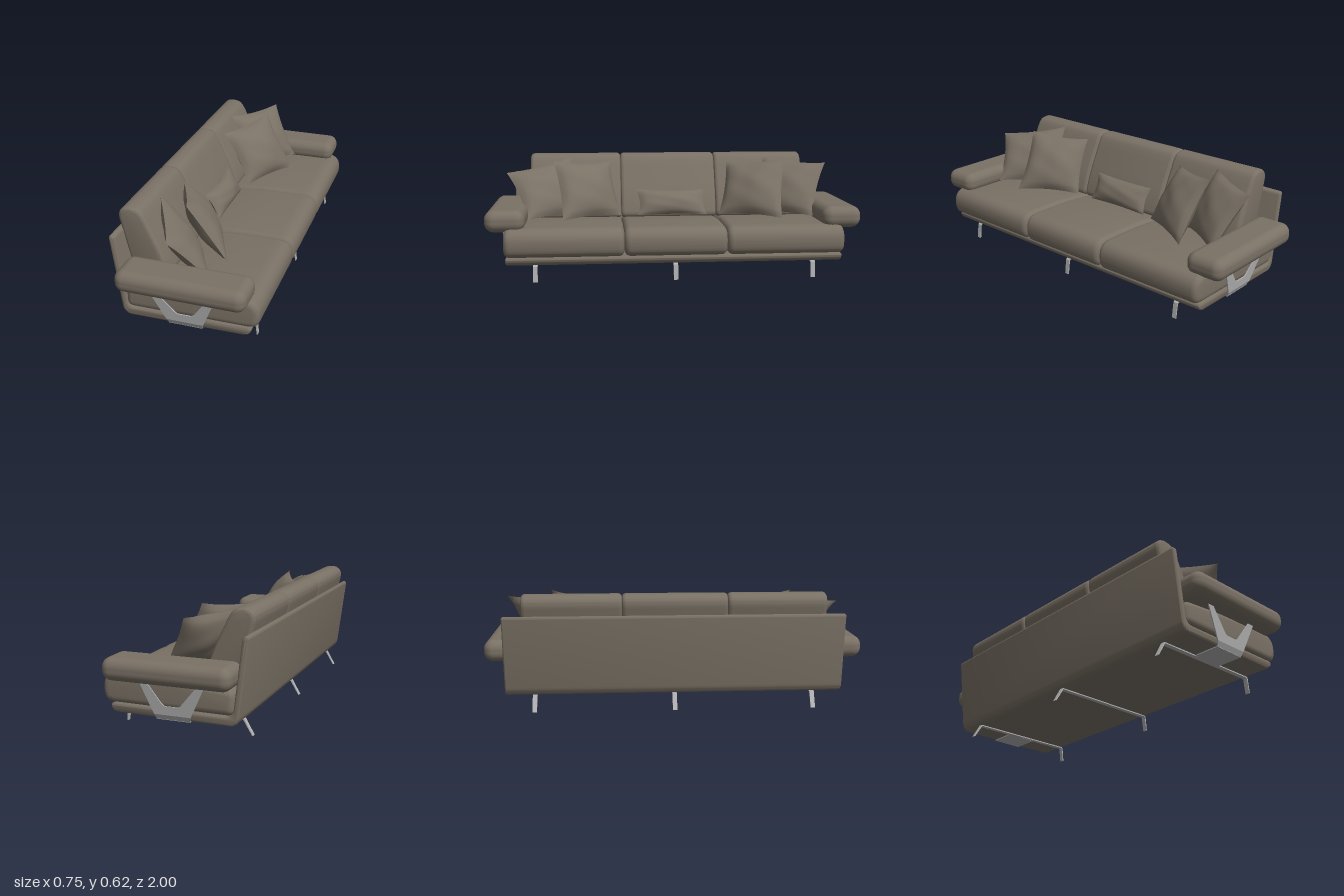
import * as THREE from 'three';
import { mergeGeometries, toCreasedNormals } from 'three/addons/utils/BufferGeometryUtils.js';
import { RoundedBoxGeometry } from 'three/addons/geometries/RoundedBoxGeometry.js';

// Closed outline whose corners [x, y, radius] are rounded
function roundedShape(corners) {
  const shape = new THREE.Shape();
  const n = corners.length;
  corners.forEach(([x, y, r], i) => {
    const p = new THREE.Vector2(x, y);
    const toward = ([qx, qy]) => {
      const d = new THREE.Vector2(qx, qy).sub(p);
      return d.setLength(Math.min(r, d.length() * 0.48)).add(p);
    };
    const a = toward(corners[(i + n - 1) % n]);
    const b = toward(corners[(i + 1) % n]);
    if (i === 0) shape.moveTo(a.x, a.y);
    else shape.lineTo(a.x, a.y);
    shape.quadraticCurveTo(x, y, b.x, b.y);
  });
  shape.closePath();
  return shape;
}

// Profile in the x-y plane swept from z0 to z1 with softly rounded ends
function softExtrude(corners, z0, z1, bevel) {
  const geo = new THREE.ExtrudeGeometry(roundedShape(corners), {
    depth: z1 - z0 - 2 * bevel, curveSegments: 8, bevelEnabled: true,
    bevelThickness: bevel, bevelSize: bevel, bevelOffset: -bevel, bevelSegments: 5,
  });
  geo.translate(0, 0, z0 + bevel);
  return toCreasedNormals(geo, 0.8);
}

// Flat-edged plate from plain points
function plate(points, depth) {
  const shape = new THREE.Shape(points.map(([x, y]) => new THREE.Vector2(x, y)));
  return new THREE.ExtrudeGeometry(shape, { depth, bevelEnabled: false });
}

// Pillow stretched between four corners, bulging on both faces
function pillowGeometry(topLeft, topRight, bottomLeft, bottomRight, bulge) {
  const [tl, tr, bl, br] = [topLeft, topRight, bottomLeft, bottomRight].map((c) => new THREE.Vector3(...c));
  const across = tr.clone().add(br).sub(tl).sub(bl);
  const up = tl.clone().add(tr).sub(bl).sub(br);
  const normal = across.cross(up).normalize();
  const sides = [1, -1].map((side) => {
    const geo = new THREE.PlaneGeometry(2, 2, 18, 18);
    const pos = geo.attributes.position;
    for (let i = 0; i < pos.count; i++) {
      const u = pos.getX(i) * side;
      const v = pos.getY(i);
      const pu = u * (1 - 0.08 * (1 - v * v));
      const pv = v * (1 - 0.08 * (1 - u * u));
      const puff = Math.pow(Math.max(0, (1 - u * u) * (1 - v * v)), 0.6);
      const fold = 1 + 0.08 * Math.sin(5 * u + 3 * v) * Math.cos(4 * v - u);
      const top = tl.clone().lerp(tr, (pu + 1) / 2);
      const p = bl.clone().lerp(br, (pu + 1) / 2).lerp(top, (pv + 1) / 2);
      p.addScaledVector(normal, side * bulge * puff * fold);
      pos.setXYZ(i, p.x, p.y, p.z);
    }
    geo.computeVertexNormals();
    return geo;
  });
  return mergeGeometries(sides);
}

export function createModel() {
  const sofa = new THREE.Group();
  sofa.name = 'sofa';
  const fabric = new THREE.MeshStandardMaterial({ color: 0x7a7165 });
  fabric.name = 'taupe fabric';
  const metal = new THREE.MeshStandardMaterial({ color: 0xb2b2b2 });
  metal.name = 'grey metal';
  const add = (name, geo, mat) => {
    const mesh = new THREE.Mesh(geo, mat);
    mesh.name = name;
    sofa.add(mesh);
    return mesh;
  };

  // Upholstered L-shaped shell: base and thin leaning back
  add('shell', softExtrude([
    [-0.325, 0.081, 0.05], [0.315, 0.088, 0.02], [0.337, 0.115, 0.02], [0.33, 0.133, 0.015],
    [-0.298, 0.127, 0.04], [-0.347, 0.512, 0.02], [-0.38, 0.514, 0.02],
  ], -0.895, 0.895, 0.012), fabric);

  // Three seat cushions and three back cushions
  const seatProfile = [
    [-0.306, 0.13, 0.04], [0.35, 0.134, 0.04], [0.377, 0.17, 0.04], [0.377, 0.245, 0.05],
    [0.335, 0.288, 0.05], [0.05, 0.286, 0.1], [-0.306, 0.252, 0.04],
  ];
  const backProfile = [
    [-0.295, 0.245, 0.03], [-0.11, 0.265, 0.04], [-0.145, 0.385, 0.08],
    [-0.245, 0.595, 0.05], [-0.275, 0.62, 0.03], [-0.34, 0.624, 0.04], [-0.376, 0.585, 0.04],
  ];
  for (const [z0, z1] of [[-0.9, -0.272], [-0.272, 0.272], [0.272, 0.9]]) {
    add('seatCushion', softExtrude(seatProfile, z0, z1, 0.032), fabric);
  }
  for (const [z0, z1] of [[-0.795, -0.275], [-0.275, 0.275], [0.275, 0.795]]) {
    add('backCushion', softExtrude(backProfile, z0, z1, 0.02), fabric);
  }

  // Armrests and their splayed metal brackets at both ends
  for (const s of [1, -1]) {
    const arm = add('armrest', new RoundedBoxGeometry(0.66, 0.115, 0.21, 6, 0.05), fabric);
    arm.position.set(0.005, 0.322, s * 0.895);

    const bracket = plate([
      [-0.085, 0.08], [0.09, 0.08], [0.097, 0.105], [0.167, 0.27], [0.13, 0.27],
      [0.055, 0.163], [0.038, 0.15], [-0.03, 0.15], [-0.045, 0.16], [-0.14, 0.27],
      [-0.175, 0.27], [-0.092, 0.105],
    ], 0.006);
    const pos = bracket.attributes.position;
    for (let i = 0; i < pos.count; i++) {
      const lean = pos.getY(i) < 0.1 ? -0.012 : (pos.getY(i) - 0.1) * 0.13;
      pos.setZ(i, s * 0.9 + pos.getZ(i) - 0.003 + s * lean);
    }
    bracket.computeVertexNormals();
    add('armBracket', bracket, metal);

    const tab = add('bracketTab', new THREE.BoxGeometry(0.175, 0.006, 0.15), metal);
    tab.position.set(0.0025, 0.081, s * 0.816);
  }

  // Three bent flat-bar legs running front to back
  for (const z of [-0.74, 0, 0.74]) {
    const leg = plate([
      [-0.348, 0], [-0.343, 0], [-0.298, 0.075], [0.305, 0.082], [0.312, 0.078], [0.322, 0],
      [0.327, 0], [0.318, 0.082], [0.31, 0.088], [-0.302, 0.081],
    ], 0.024);
    leg.translate(0, 0, z - 0.012);
    add('legBar', leg, metal);
  }

  // Scatter pillows: top left, top right, bottom left, bottom right, bulge
  const pillows = [
    [[-0.25, 0.605, 0.56], [-0.07, 0.535, 0.915], [-0.1, 0.29, 0.48], [0.1, 0.295, 0.79], 0.06],
    [[-0.21, 0.58, 0.335], [-0.07, 0.6, 0.655], [-0.06, 0.29, 0.275], [0.12, 0.29, 0.6], 0.065],
    [[-0.05, 0.608, -0.66], [-0.22, 0.57, -0.345], [0.13, 0.29, -0.61], [-0.05, 0.29, -0.28], 0.065],
    [[-0.06, 0.578, -0.895], [-0.25, 0.595, -0.565], [0.1, 0.295, -0.79], [-0.1, 0.29, -0.49], 0.06],
    [[-0.145, 0.425, 0.19], [-0.145, 0.42, -0.205], [-0.07, 0.285, 0.18], [-0.07, 0.285, -0.215], 0.045],
  ];
  pillows.forEach(([a, b, c, d, bulge], i) => {
    // Pillows on the +z side list their corners from the middle outward, so swap left and right
    const geo = i < 2 ? pillowGeometry(b, a, d, c, bulge) : pillowGeometry(a, b, c, d, bulge);
    // Right-hand pair is listed outside-in; flip it to face the front as well
    const flipped = i === 2 || i === 3 ? pillowGeometry(b, a, d, c, bulge) : geo;
    add(i === 4 ? 'lumbarPillow' : 'scatterPillow', flipped, fabric);
  });

  return sofa;
}
